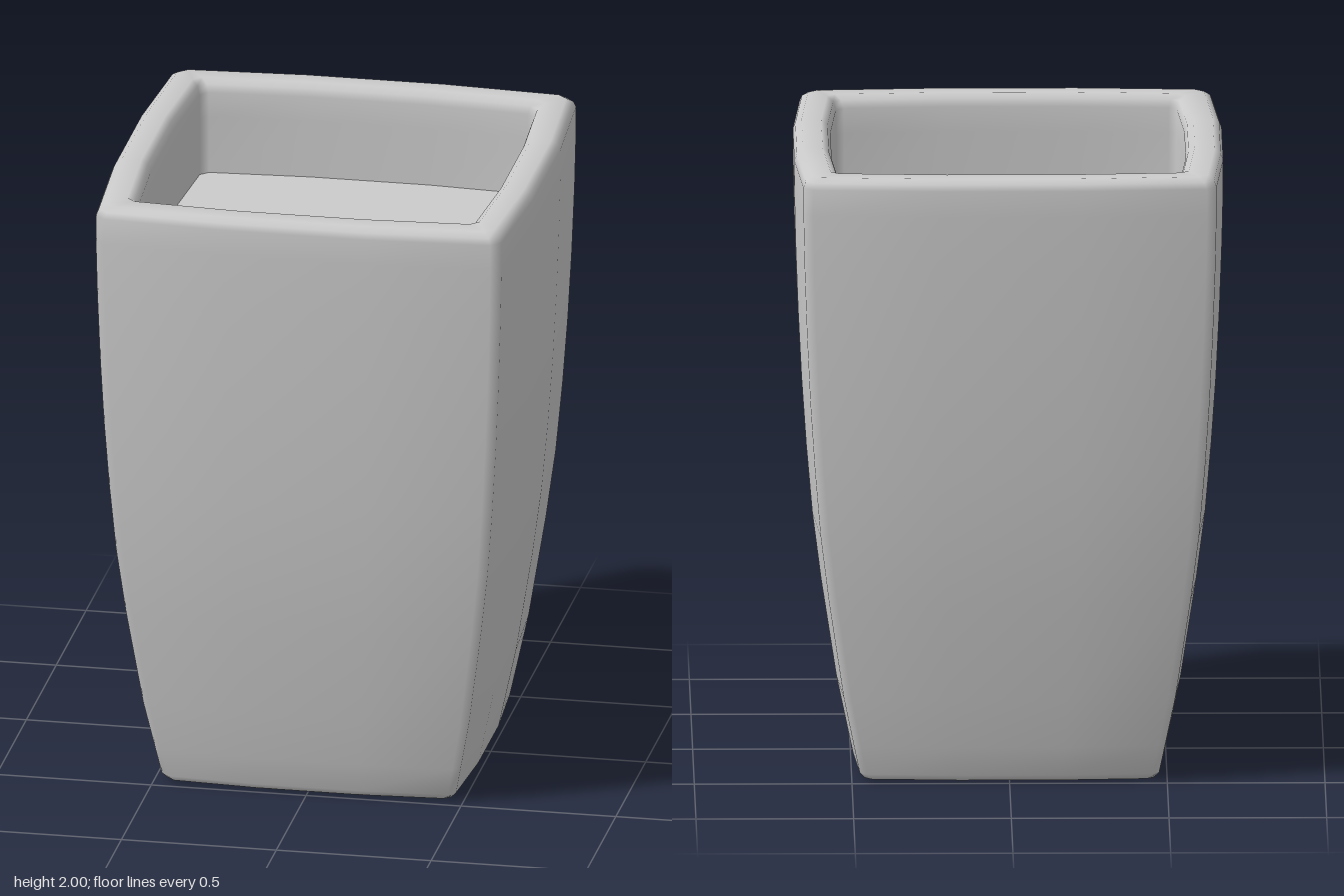
import * as THREE from 'three';

// One quarter of the bulged square cross-section, for a half-width of 1
const QUARTER = [[1, -0.34], [1, 0.34], [0.963, 0.918], [0.918, 0.963]];

// The quarter turned four times about the y axis
const SECTION = [];
for (let q = 0; q < 4; q++) {
  const c = Math.round(Math.cos(q * Math.PI / 2)), s = Math.round(Math.sin(q * Math.PI / 2));
  for (const [x, z] of QUARTER) SECTION.push([x * c - z * s, x * s + z * c]);
}

// Stack scaled sections along a profile of [half-width, height] steps
function loft(profile) {
  const positions = [], index = [], n = SECTION.length;
  for (const [r, y] of profile) {
    for (const [x, z] of SECTION) positions.push(x * r, y, z * r);
  }
  for (let i = 0; i < profile.length - 1; i++) {
    for (let j = 0; j < n; j++) {
      const a = i * n + j, b = i * n + (j + 1) % n;
      index.push(a, a + n, b, b, a + n, b + n);
    }
  }
  const geometry = new THREE.BufferGeometry();
  geometry.setAttribute('position', new THREE.Float32BufferAttribute(positions, 3));
  geometry.setIndex(index);
  geometry.computeVertexNormals();
  return geometry;
}

export function createModel() {
  const group = new THREE.Group();
  group.name = 'planter';
  const material = new THREE.MeshStandardMaterial({ color: 0xcccccc });
  const soilHeight = 1.69;

  // Underside, bowed outer wall, rounded rim and inner wall in one skin
  const pot = new THREE.Mesh(loft([
    [0, 0], [0.42, 0], [0.475, 0.005], [0.493, 0.025],
    [0.513, 0.12], [0.546, 0.28], [0.595, 0.6], [0.623, 0.82], [0.642, 1.04],
    [0.657, 1.26], [0.668, 1.48], [0.676, 1.7], [0.68, 1.88],
    [0.68, 1.965], [0.672, 1.985], [0.652, 2],
    [0.59, 2], [0.57, 1.985], [0.561, 1.96], [0.56, 1.88], [0.56, soilHeight],
  ]), material);
  pot.name = 'pot';
  group.add(pot);

  // Flat fill inside the pot
  const soil = new THREE.Mesh(loft([[0.56, soilHeight], [0, soilHeight]]), material);
  soil.name = 'soil';
  group.add(soil);

  return group;
}
